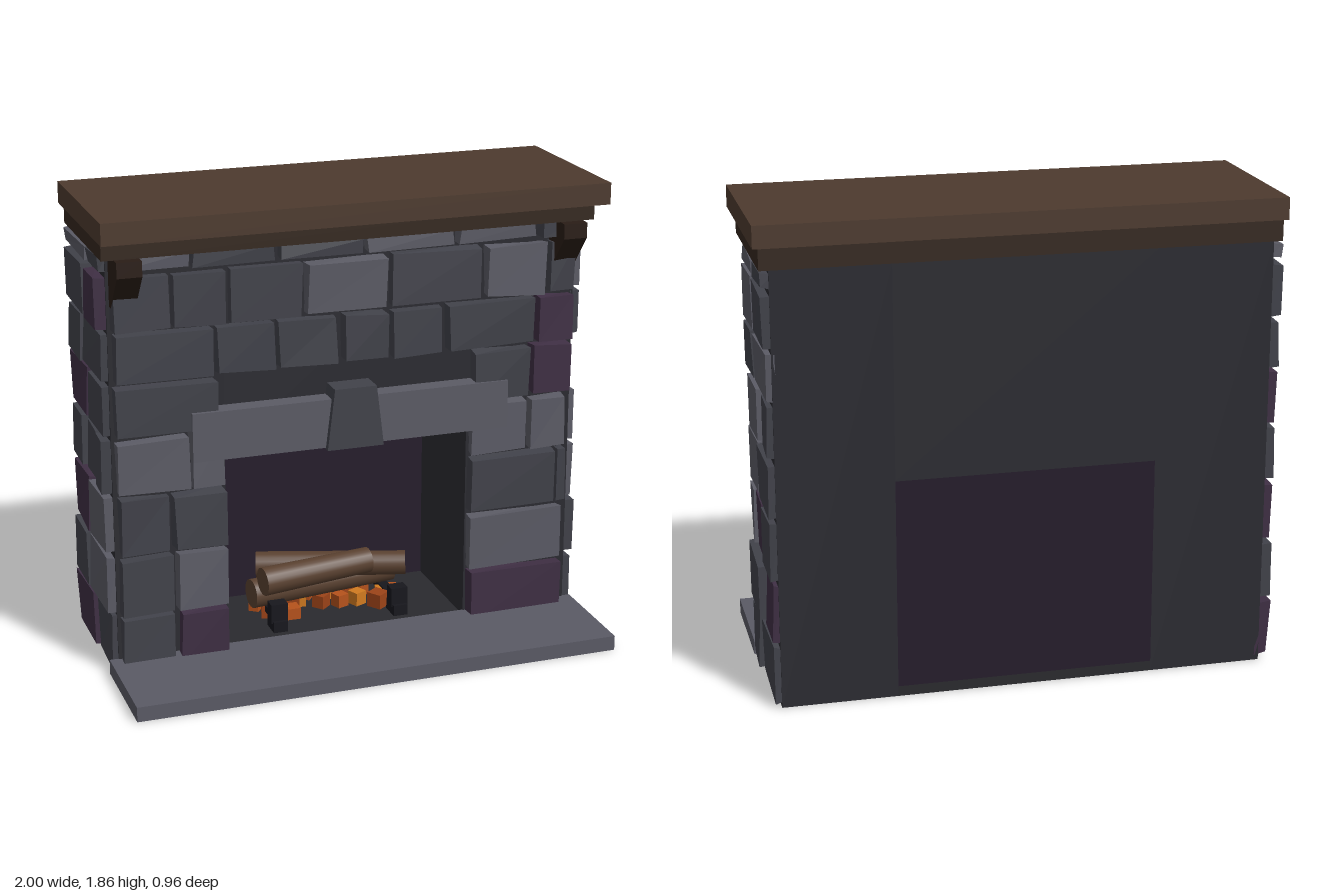
import * as THREE from 'three';

const COLORS = {
  M: 0x41424a, L: 0x5b5b65, P: 0x3f2f44, core: 0x2b2b31, mantel: 0x4d3a2e, trim: 0x35281f,
  corbel: 0x2a1d16, hearth: 0x5a5a65, panel: 0x251c2b, floor: 0x2a2a2e, log: 0x5a4130, iron: 0x17171d,
};
const cache = {};
const mat = (color) => (cache[color] ??= new THREE.MeshStandardMaterial({ color, flatShading: true }));

let seed = 7;
const rand = () => {
  seed = (seed * 16807) % 2147483647;
  return seed / 2147483647;
};

function add(parent, name, geometry, color) {
  const mesh = new THREE.Mesh(geometry, mat(color));
  mesh.name = name;
  parent.add(mesh);
  return mesh;
}

// Box given by its minimum and maximum on each axis
function box(parent, name, [x0, x1], [y0, y1], [z0, z1], color) {
  const g = new THREE.BoxGeometry(x1 - x0, y1 - y0, z1 - z0);
  g.translate((x0 + x1) / 2, (y0 + y1) / 2, (z0 + z1) / 2);
  return add(parent, name, g, color);
}

// Rough stone: a box whose corners are each nudged a little
function stone(parent, xs, ys, zs, color) {
  const mesh = box(parent, 'stone', xs, ys, zs, color);
  const p = mesh.geometry.attributes.position;
  const nudges = {};
  for (let i = 0; i < p.count; i++) {
    const key = [p.getX(i), p.getY(i), p.getZ(i)].map((v) => v.toFixed(3)).join();
    const n = (nudges[key] ??= [0, 0, 0].map(() => (rand() - 0.5) * 0.013));
    p.setXYZ(i, p.getX(i) + n[0], p.getY(i) + n[1], p.getZ(i) + n[2]);
  }
  mesh.geometry.computeVertexNormals();
}

// Log between two points
function log(parent, a, b, radius) {
  const from = new THREE.Vector3(...a), to = new THREE.Vector3(...b);
  const dir = to.clone().sub(from);
  const mesh = new THREE.Mesh(
    new THREE.CylinderGeometry(radius * 0.9, radius, dir.length(), 20),
    new THREE.MeshStandardMaterial({ color: COLORS.log }));
  mesh.name = 'log';
  mesh.position.copy(from).add(to).multiplyScalar(0.5);
  mesh.quaternion.setFromUnitVectors(new THREE.Vector3(0, 1, 0), dir.normalize());
  parent.add(mesh);
}

// Stone courses from the ground up: height range, then [start, end, tone] per stone
const COURSES = [[0.02, 0.24], [0.26, 0.485], [0.51, 0.73], [0.755, 0.96], [0.985, 1.18], [1.2, 1.38], [1.4, 1.6], [1.625, 1.68]];
const FRONT = [
  [[-0.93, -0.73, 'M'], [-0.7, -0.515, 'P'], [0.51, 0.91, 'P']],
  [[-0.93, -0.73, 'M'], [-0.705, -0.515, 'L'], [0.51, 0.9, 'L']],
  [[-0.93, -0.74, 'M'], [-0.715, -0.515, 'M'], [0.51, 0.865, 'M'], [0.885, 0.92, 'M']],
  [[-0.93, -0.655, 'L'], [-0.635, -0.515, 'L'], [0.51, 0.74, 'L'], [0.755, 0.905, 'L']],
  [[-0.93, -0.54, 'M'], [0.51, 0.74, 'M'], [0.76, 0.925, 'P']],
  [[-0.93, -0.555, 'M'], [-0.53, -0.31, 'M'], [-0.29, -0.06, 'M'], [-0.03, 0.145, 'M'], [0.17, 0.37, 'M'], [0.4, 0.755, 'M'], [0.78, 0.925, 'P']],
  [[-0.93, -0.72, 'M'], [-0.7, -0.5, 'M'], [-0.475, -0.2, 'M'], [-0.175, 0.14, 'L'], [0.165, 0.535, 'M'], [0.56, 0.8, 'L'], [0.825, 0.925, 'M']],
  [[-0.93, -0.64, 'L'], [-0.62, -0.305, 'M'], [-0.28, 0.04, 'M'], [0.065, 0.41, 'L'], [0.44, 0.755, 'L'], [0.78, 0.925, 'M']],
];
const LEFT = [
  [[-0.47, -0.155, 'M'], [-0.13, 0.04, 'M']],
  [[-0.47, -0.27, 'P'], [-0.245, 0.04, 'M']],
  [[-0.47, -0.275, 'M'], [-0.25, -0.08, 'P'], [-0.055, 0.04, 'L']],
  [[-0.47, -0.2, 'M'], [-0.17, 0.04, 'L']],
  [[-0.47, -0.27, 'M'], [-0.24, -0.02, 'L']],
  [[-0.47, -0.165, 'L'], [-0.14, 0.04, 'M']],
  [[-0.47, -0.205, 'M'], [-0.175, 0.04, 'L']],
  [[-0.47, -0.28, 'M'], [-0.255, 0.015, 'L']],
];
const RIGHT = [
  [[-0.47, -0.2, 'P'], [-0.17, 0.04, 'M']],
  [[-0.47, -0.26, 'M'], [-0.235, 0.04, 'L']],
  [[-0.47, -0.21, 'P'], [-0.185, 0.04, 'L']],
  [[-0.47, -0.29, 'M'], [-0.265, -0.1, 'M'], [-0.075, 0.04, 'M']],
  [[-0.47, -0.21, 'P'], [-0.185, 0.04, 'M']],
  [[-0.47, -0.26, 'M'], [-0.235, 0.04, 'M']],
  [[-0.47, -0.17, 'M'], [-0.145, 0.04, 'P']],
  [[-0.47, -0.15, 'L'], [-0.125, 0.04, 'M']],
];

export function createModel() {
  const model = new THREE.Group();
  model.name = 'fireplace';
  const group = (name) => {
    const g = new THREE.Group();
    g.name = name;
    model.add(g);
    return g;
  };

  // Masonry core around the firebox
  const core = group('core');
  const depth = [-0.475, 0.045];
  box(core, 'rightPier', [-0.945, -0.5], [0, 1.69], depth, COLORS.core);
  box(core, 'leftPier', [0.5, 0.945], [0, 1.69], depth, COLORS.core);
  box(core, 'chimneyBreast', [-0.5, 0.5], [0.865, 1.69], depth, COLORS.core);
  box(core, 'fireboxFloor', [-0.5, 0.5], [0, 0.04], depth, COLORS.floor);
  box(core, 'fireboxBack', [-0.5, 0.5], [0.04, 0.865], [-0.475, -0.44], COLORS.panel);

  // Stone facing on the front and both sides
  const stones = group('stones');
  COURSES.forEach((ys, row) => {
    for (const [a, b, tone] of FRONT[row]) stone(stones, [a, b], ys, [0.03, 0.09 + rand() * 0.02], COLORS[tone]);
    for (const [a, b, tone] of LEFT[row]) stone(stones, [0.93, 0.965 + rand() * 0.02], ys, [a, b], COLORS[tone]);
    for (const [a, b, tone] of RIGHT[row]) stone(stones, [-0.965 - rand() * 0.02, -0.93], ys, [a, b], COLORS[tone]);
  });

  // Hearth slab, lintel and tapered keystone
  box(model, 'hearth', [-0.98, 0.98], [0, 0.06], [0.04, 0.48], COLORS.hearth);
  box(model, 'lintel', [-0.645, 0.645], [0.865, 1.06], [0.03, 0.12], COLORS.L);
  const key = new THREE.Shape([[-0.115, 0.86], [0.115, 0.86], [0.085, 1.105], [-0.085, 1.105]].map((p) => new THREE.Vector2(...p)));
  add(model, 'keystone', new THREE.ExtrudeGeometry(key, { depth: 0.11, bevelEnabled: false }).translate(0, 0, 0.035), COLORS.M);

  // Mantel shelf, trim board and corbels
  box(model, 'mantelShelf', [-1, 1], [1.77, 1.855], [-0.478, 0.243], COLORS.mantel);
  box(model, 'mantelTrim', [-0.98, 0.98], [1.69, 1.77], [-0.475, 0.145], COLORS.trim);
  const profile = new THREE.Shape([[0.035, 1.49], [0.07, 1.49], [0.185, 1.63], [0.185, 1.69], [0.035, 1.69]].map((p) => new THREE.Vector2(...p)));
  for (const side of [-1, 1]) {
    const g = new THREE.ExtrudeGeometry(profile, { depth: 0.096, bevelEnabled: false });
    g.translate(0, 0, -0.048).rotateY(-Math.PI / 2).translate(side * 0.885, 0, 0);
    add(model, 'corbel', g, COLORS.corbel);
  }

  // Fire: andirons, embers and stacked logs
  const fire = group('fire');
  for (const side of [-1, 1]) {
    const x = side * 0.257;
    box(fire, 'andironPost', [x - 0.035, x + 0.035], [0.075, 0.155], [-0.1, -0.045], COLORS.iron);
    box(fire, 'andironFoot', [x - 0.03, x + 0.03], [0.04, 0.085], [-0.12, -0.03], COLORS.iron);
    box(fire, 'andironBar', [x - 0.02, x + 0.02], [0.07, 0.1], [-0.36, -0.1], COLORS.iron);
  }
  const emberTones = [0xb5521c, 0x9c4318, 0xd07a20];
  for (let i = 0; i < 16; i++) {
    const x = -0.29 + i * 0.038, z = -0.15 - rand() * 0.17, s = 0.02 + rand() * 0.015;
    const ember = add(fire, 'ember', new THREE.BoxGeometry(s * 2, 0.04 + rand() * 0.03, s * 2), emberTones[i % 3]);
    ember.position.set(x, 0.07, z);
    ember.rotation.y = rand() * 1.5;
  }
  log(fire, [-0.31, 0.24, -0.1], [0.16, 0.25, -0.16], 0.058);
  log(fire, [-0.33, 0.15, -0.2], [0.3, 0.15, -0.28], 0.06);
  log(fire, [-0.26, 0.205, -0.36], [0.32, 0.22, -0.15], 0.055);

  return model;
}
